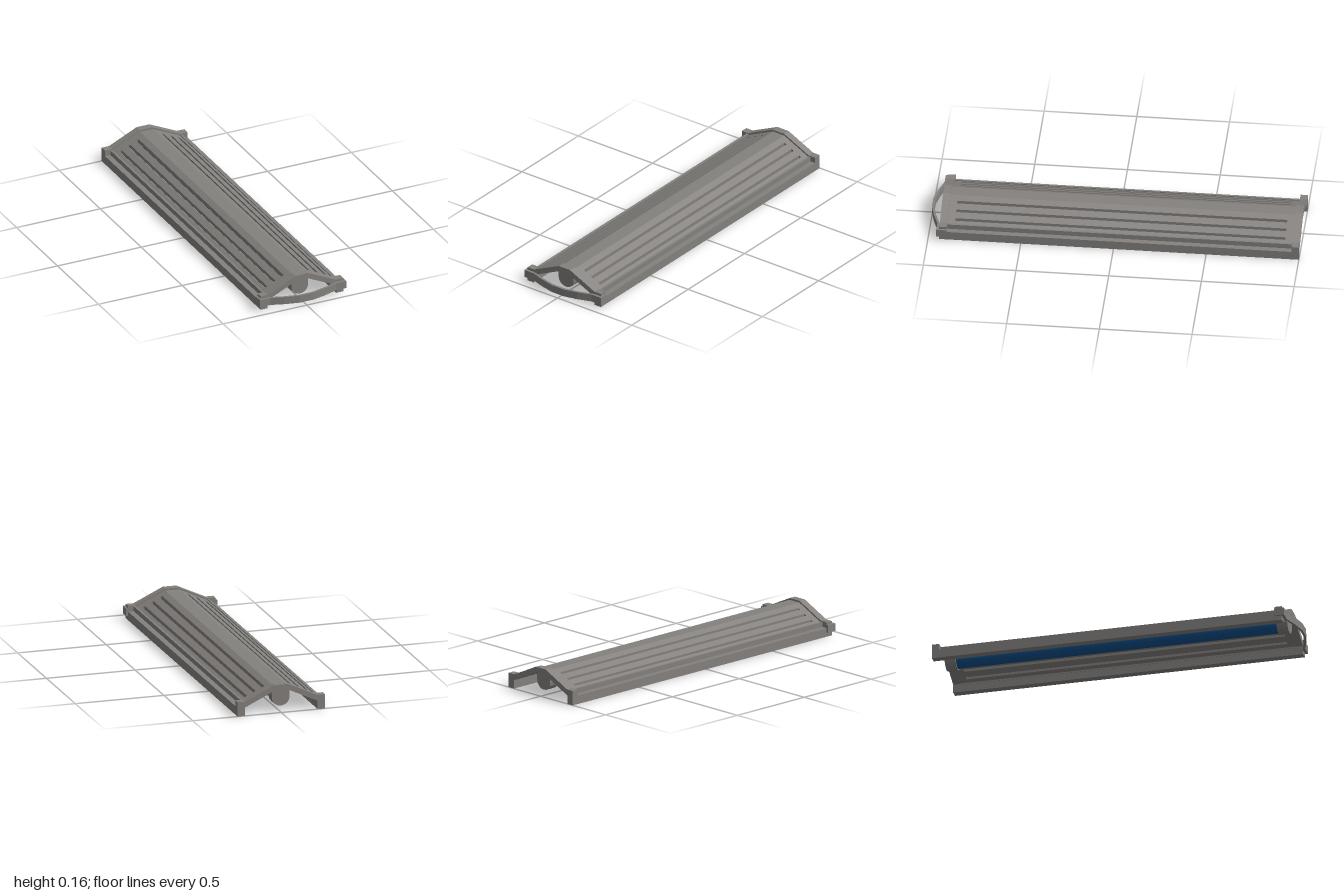
import * as THREE from 'three';

const grey = new THREE.MeshStandardMaterial({ color: 0x84817e });
grey.name = 'grey plastic';
const blue = new THREE.MeshStandardMaterial({ color: 0x0d4f8b });
blue.name = 'blue tube';

export function createModel() {
  const model = new THREE.Group();
  model.name = 'ventedCover';

  const add = (name, geometry, material = grey) => {
    const mesh = new THREE.Mesh(geometry, material);
    mesh.name = name;
    model.add(mesh);
    return mesh;
  };

  // Solid with an x-y outline, running from z0 to z1
  const prism = (name, points, z0, z1) => {
    const shape = new THREE.Shape(points.map(([x, y]) => new THREE.Vector2(x, y)));
    const geometry = new THREE.ExtrudeGeometry(shape, { depth: z1 - z0, bevelEnabled: false });
    return add(name, geometry.translate(0, 0, z0));
  };
  const block = (name, x0, x1, y0, y1, z0, z1) =>
    add(name, new THREE.BoxGeometry(x1 - x0, y1 - y0, z1 - z0)
      .translate((x0 + x1) / 2, (y0 + y1) / 2, (z0 + z1) / 2));
  const mirrored = (half) => [...half, ...half.map(([x, y]) => [-x, y]).reverse()];

  // End arches with feet
  const arch = mirrored([
    [0.038, 0.125], [0.205, 0.047], [0.205, 0], [0.247, 0],
    [0.247, 0.08], [0.203, 0.08], [0.038, 0.157],
  ]);
  prism('frontArch', arch, 0.9, 0.94);
  prism('backArch', arch, -1, -0.96);

  // Roof panel: solid ends, with slats between the slots
  const roofY = (x) => 0.147 - 0.467 * Math.max(0, Math.abs(x) - 0.038);
  const thickness = 0.021;
  const flat = 0.038, edge = 0.206, slotHalf = 0.007;
  const slotZ = [-0.92, 0.86];
  const roofEnd = mirrored([
    [flat, roofY(flat) - thickness], [edge, roofY(edge) - thickness],
    [edge, roofY(edge)], [flat, roofY(flat)],
  ]);
  prism('roofBackEnd', roofEnd, -0.96, slotZ[0]);
  prism('roofFrontEnd', roofEnd, slotZ[1], 0.9);

  const inner = 0.077 - slotHalf;
  prism('roofRidge', mirrored([
    [flat, roofY(flat) - thickness], [inner, roofY(inner) - thickness],
    [inner, roofY(inner)], [flat, roofY(flat)],
  ]), ...slotZ);

  const slots = [0.077, 0.126, 0.175];
  for (const side of [-1, 1]) {
    const label = side > 0 ? 'left' : 'right';
    slots.forEach((slot, i) => {
      const a = slot + slotHalf;
      const b = i < 2 ? slots[i + 1] - slotHalf : edge;
      prism(`${label}RoofSlat`, [
        [side * a, roofY(a) - thickness], [side * b, roofY(b) - thickness],
        [side * b, roofY(b)], [side * a, roofY(a)],
      ], ...slotZ);
    });

    // Side rail, roof flange and the clip gripping the rail
    const span = (a, b) => (side > 0 ? [a, b] : [-b, -a]);
    block(`${label}Rail`, ...span(0.205, 0.247), 0, 0.048, -0.96, 0.9);
    block(`${label}Flange`, ...span(0.203, 0.215), 0.04, 0.075, -0.96, 0.9);
    block(`${label}Clip`, ...span(0.204, 0.258), 0.024, 0.066, 0.9, 0.955);
  }

  // Bowed strap across the front, outlined in plan
  const strap = mirrored([
    [0.04, 0.987], [0.12, 0.968], [0.195, 0.942], [0.21, 0.942],
    [0.21, 0.955], [0.195, 0.955], [0.12, 0.981], [0.04, 1],
  ]);
  const strapShape = new THREE.Shape(strap.map(([x, z]) => new THREE.Vector2(x, z)));
  const strapGeometry = new THREE.ExtrudeGeometry(strapShape, { depth: 0.042, bevelEnabled: false });
  add('frontStrap', strapGeometry.rotateX(Math.PI / 2).scale(1, 1, 1).translate(0, 0.066, 0));

  // Tube holders hanging under the roof, rounded below
  const holder = [[0.047, 0.135], [-0.053, 0.135]];
  for (let i = 0; i <= 8; i++) {
    const a = Math.PI + (i * Math.PI) / 8;
    holder.push([-0.003 + 0.05 * Math.cos(a), 0.079 + 0.046 * Math.sin(a)]);
  }
  prism('frontTubeHolder', holder, 0.86, 0.92);
  prism('backTubeHolder', holder, -0.98, -0.92);

  // Long tube
  const tube = add('tube', new THREE.CylinderGeometry(0.037, 0.037, 1.8, 24).rotateX(Math.PI / 2), blue);
  tube.position.set(-0.003, 0.078, -0.03);

  return model;
}
